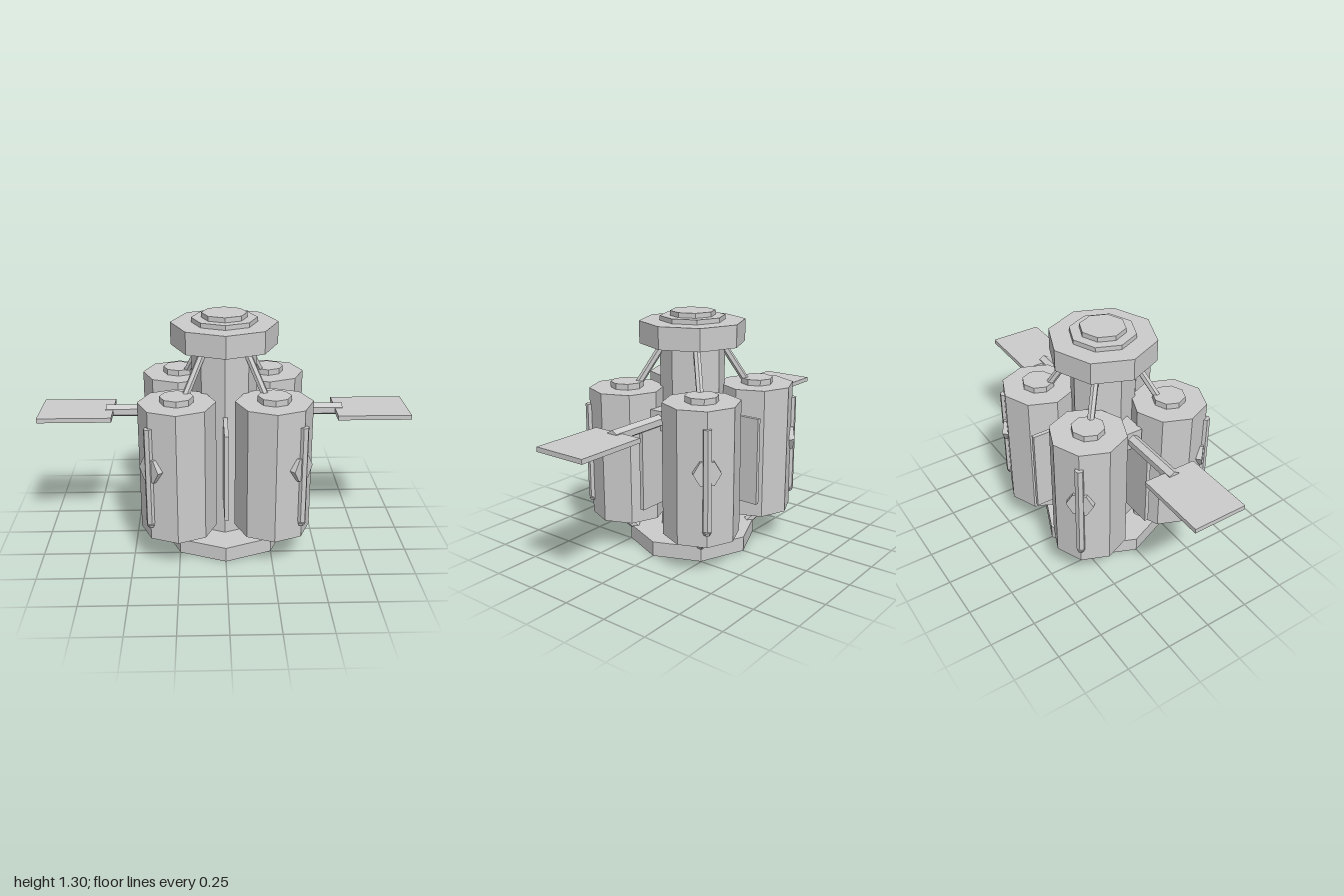
import * as THREE from 'three';

export function createModel() {
  const model = new THREE.Group();
  model.name = 'spaceStation';
  const grey = new THREE.MeshStandardMaterial({ color: 0xcccccc, flatShading: true });
  grey.name = 'light grey';

  const add = (name, geometry, x = 0, y = 0, z = 0, parent = model) => {
    const mesh = new THREE.Mesh(geometry, grey);
    mesh.name = name;
    mesh.position.set(x, y, z);
    parent.add(mesh);
    return mesh;
  };
  // Upright prism between two heights
  const prism = (name, r, y0, y1, x = 0, z = 0, parent = model, sides = 8) =>
    add(name, new THREE.CylinderGeometry(r, r, y1 - y0, sides), x, (y0 + y1) / 2, z, parent);
  // Straight bar between two points
  const bar = (name, r, a, b, parent = model) => {
    const dir = b.clone().sub(a);
    const mesh = add(name, new THREE.CylinderGeometry(r, r, dir.length(), 6), 0, 0, 0, parent);
    mesh.position.copy(a).add(b).multiplyScalar(0.5);
    mesh.quaternion.setFromUnitVectors(new THREE.Vector3(0, 1, 0), dir.normalize());
    return mesh;
  };

  // Central stack
  prism('base', 0.352, 0, 0.082);
  prism('coreColumn', 0.176, 0.082, 1.27);
  prism('topRing', 0.286, 1.125, 1.245);
  prism('topCap', 0.122, 1.27, 1.296);

  // Four pods, each built on +z and turned to a diagonal
  const D = 0.252 * Math.SQRT2;
  const diag = (d, y) => new THREE.Vector3(0, y, d * Math.SQRT2);
  for (let i = 0; i < 4; i++) {
    const pod = new THREE.Group();
    pod.name = 'podAssembly';
    pod.rotation.y = Math.PI / 4 + i * Math.PI / 2;
    model.add(pod);
    prism('pod', 0.203, 0.176, 0.89, 0, D, pod);
    prism('podCap', 0.088, 0.89, 0.922, 0, D, pod);
    bar('upperStrut', 0.02, diag(0.215, 0.89), diag(0.108, 1.126), pod);
    bar('lowerStrut', 0.025, diag(0.335, 0.21), diag(0.225, 0.072), pod);
    // Outer rod with a hexagonal mount and rounded foot
    prism('rod', 0.024, 0.27, 0.802, 0, 0.558, pod, 6);
    add('rodFoot', new THREE.SphereGeometry(0.024, 6, 4), 0, 0.264, 0.558, pod);
    const mount = add('rodMount', new THREE.CylinderGeometry(0.072, 0.072, 0.04, 6), 0, 0.573, 0.543, pod);
    mount.rotation.set(Math.PI / 2, Math.PI / 6, 0);
  }

  // Thin fins between the pods
  for (let i = 0; i < 4; i++) {
    const side = new THREE.Group();
    side.name = 'finMount';
    side.rotation.y = i * Math.PI / 2;
    model.add(side);
    add('fin', new THREE.BoxGeometry(0.022, 0.475, 0.3), 0, 0.533, 0.285, side);
  }

  // Solar panels on side arms
  for (const s of [-1, 1]) {
    add('armBlock', new THREE.BoxGeometry(0.16, 0.105, 0.11), s * 0.21, 0.75, 0);
    const arm = add('panelArm', new THREE.CylinderGeometry(0.034, 0.034, 0.5, 6), s * 0.395, 0.751, 0);
    arm.rotation.set(0, 0, Math.PI / 2);
    arm.geometry.rotateY(Math.PI / 2);
    add('solarPanel', new THREE.BoxGeometry(0.395, 0.025, 0.296), s * 0.8025, 0.751, 0);
  }
  return model;
}
